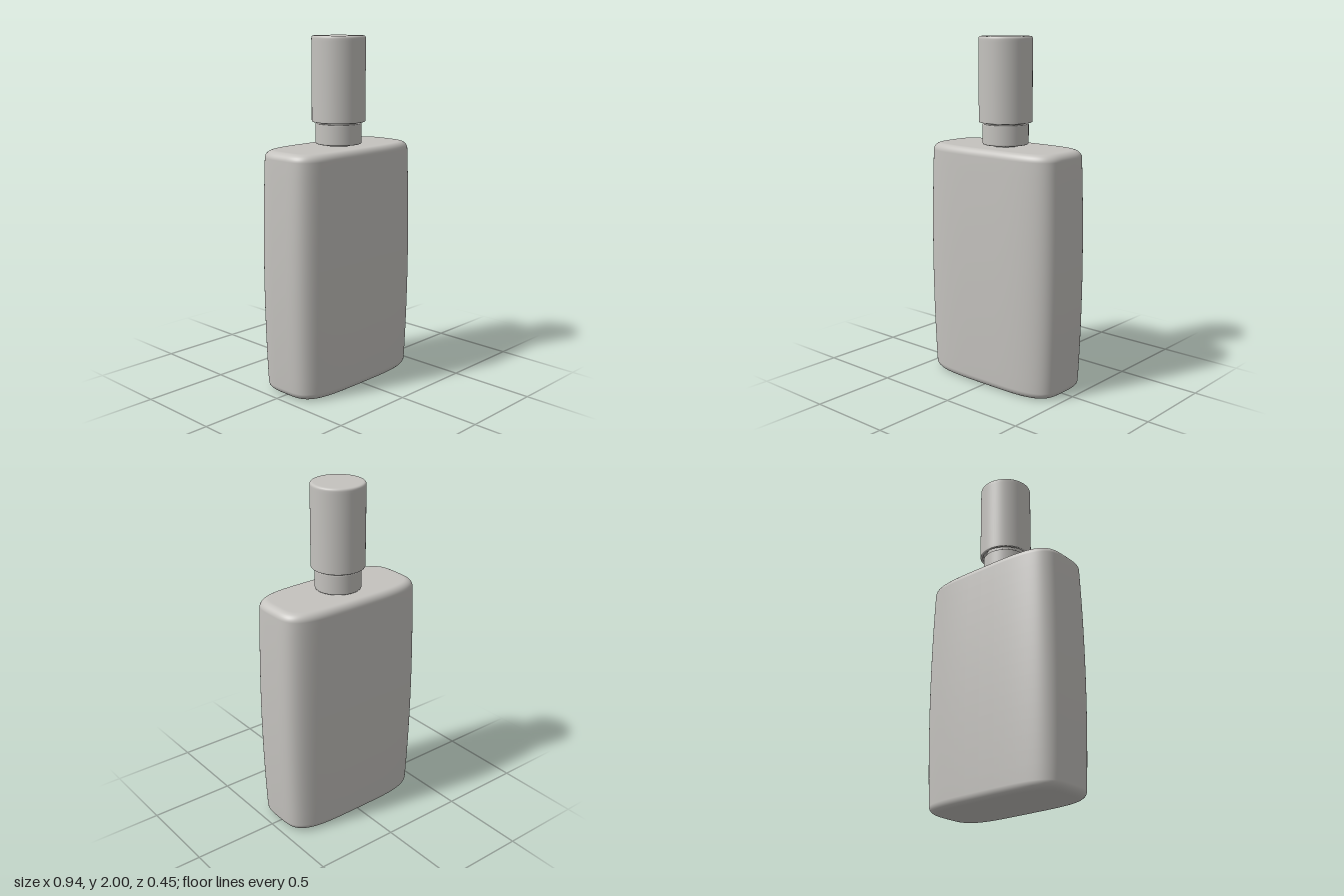
import * as THREE from 'three';

// Smooth closed shell of superellipse rings: each ring is [y, halfWidth, halfDepth]
function superellipseShell(rings, segments, power) {
  const pos = [], index = [];
  const bend = v => Math.sign(v) * Math.pow(Math.abs(v), 2 / power);
  for (const [y, a, b] of rings) {
    for (let i = 0; i < segments; i++) {
      const t = (i / segments) * Math.PI * 2;
      pos.push(a * bend(Math.cos(t)), y, b * bend(Math.sin(t)));
    }
  }
  for (let r = 0; r < rings.length - 1; r++) {
    for (let i = 0; i < segments; i++) {
      const j = (i + 1) % segments;
      const p = r * segments + i, q = r * segments + j;
      index.push(p, p + segments, q, q, p + segments, q + segments);
    }
  }
  // Close the bottom and the top with fans
  const bottom = pos.length / 3, last = (rings.length - 1) * segments;
  pos.push(0, rings[0][0], 0, 0, rings[rings.length - 1][0], 0);
  for (let i = 0; i < segments; i++) {
    const j = (i + 1) % segments;
    index.push(bottom, i, j, bottom + 1, last + j, last + i);
  }
  const geo = new THREE.BufferGeometry();
  geo.setAttribute('position', new THREE.Float32BufferAttribute(pos, 3));
  geo.setIndex(index);
  geo.computeVertexNormals();
  return geo;
}

// Rings of the bottle: rounded base, bulging sides, rounded shoulder
function bottleRings(height) {
  const rings = [], r = 0.042, steps = 8;
  const half = y => {
    const u = (y - 0.7) / 0.7;
    const w = u * u;
    return [0.47 - (u < 0 ? 0.019 : 0.016) * w, 0.226 - 0.011 * w];
  };
  const add = (y, inset) => {
    const [a, b] = half(y);
    rings.push([y, a - inset * 1.1, b - inset * 0.85]);
  };
  add(0, 0.06);
  for (let i = 0; i <= steps; i++) {
    const t = (i / steps) * Math.PI / 2;
    add(r * (1 - Math.cos(t)), r * (1 - Math.sin(t)));
  }
  for (let i = 1; i < 16; i++) add(r + (height - 2 * r) * i / 16, 0);
  for (let i = 0; i <= steps; i++) {
    const t = (i / steps) * Math.PI / 2;
    add(height - r * (1 - Math.sin(t)), r * (1 - Math.cos(t)));
  }
  add(height, 0.06);
  return rings;
}

// Turned part with rounded outer edges; profile corners are [radius, y, rounding]
function turned(corners) {
  const pts = [];
  corners.forEach(([x, y, r], k) => {
    const here = new THREE.Vector2(x, y);
    if (!r) { pts.push(here); return; }
    const toward = c => new THREE.Vector2(c[0], c[1]).sub(here).setLength(r).add(here);
    const curve = new THREE.QuadraticBezierCurve(toward(corners[k - 1]), here, toward(corners[k + 1]));
    // Short lead-in points keep the flat faces flat
    const lead = (c, p) => p.clone().lerp(new THREE.Vector2(c[0], c[1]), 0.03);
    pts.push(lead(corners[k - 1], curve.v0), ...curve.getPoints(5), lead(corners[k + 1], curve.v2));
  });
  return new THREE.LatheGeometry(pts, 64);
}

export function createModel() {
  const group = new THREE.Group();
  const grey = new THREE.MeshStandardMaterial({ color: 0xc4c2be, side: THREE.DoubleSide });
  grey.name = 'warm grey';

  const add = (name, geometry) => {
    const mesh = new THREE.Mesh(geometry, grey);
    mesh.name = name;
    group.add(mesh);
  };

  // Flat bottle with softly bulging walls
  add('bottle', superellipseShell(bottleRings(1.387), 128, 4));

  // Narrow neck and inner stem
  add('neck', new THREE.CylinderGeometry(0.075, 0.075, 0.03, 48).translate(0, 1.39, 0));
  add('stem', new THREE.CylinderGeometry(0.112, 0.112, 0.06, 48).translate(0, 1.53, 0));

  // Collar under the cap
  add('collar', turned([
    [0, 1.397, 0], [0.131, 1.397, 0.008], [0.131, 1.514, 0.006], [0, 1.514, 0],
  ]));

  // Tall cap with a recessed underside
  add('cap', turned([
    [0, 1.55, 0], [0.136, 1.55, 0.004], [0.136, 1.522, 0.004],
    [0.152, 1.522, 0.006], [0.152, 2, 0.016], [0, 2, 0],
  ]));

  return group;
}
